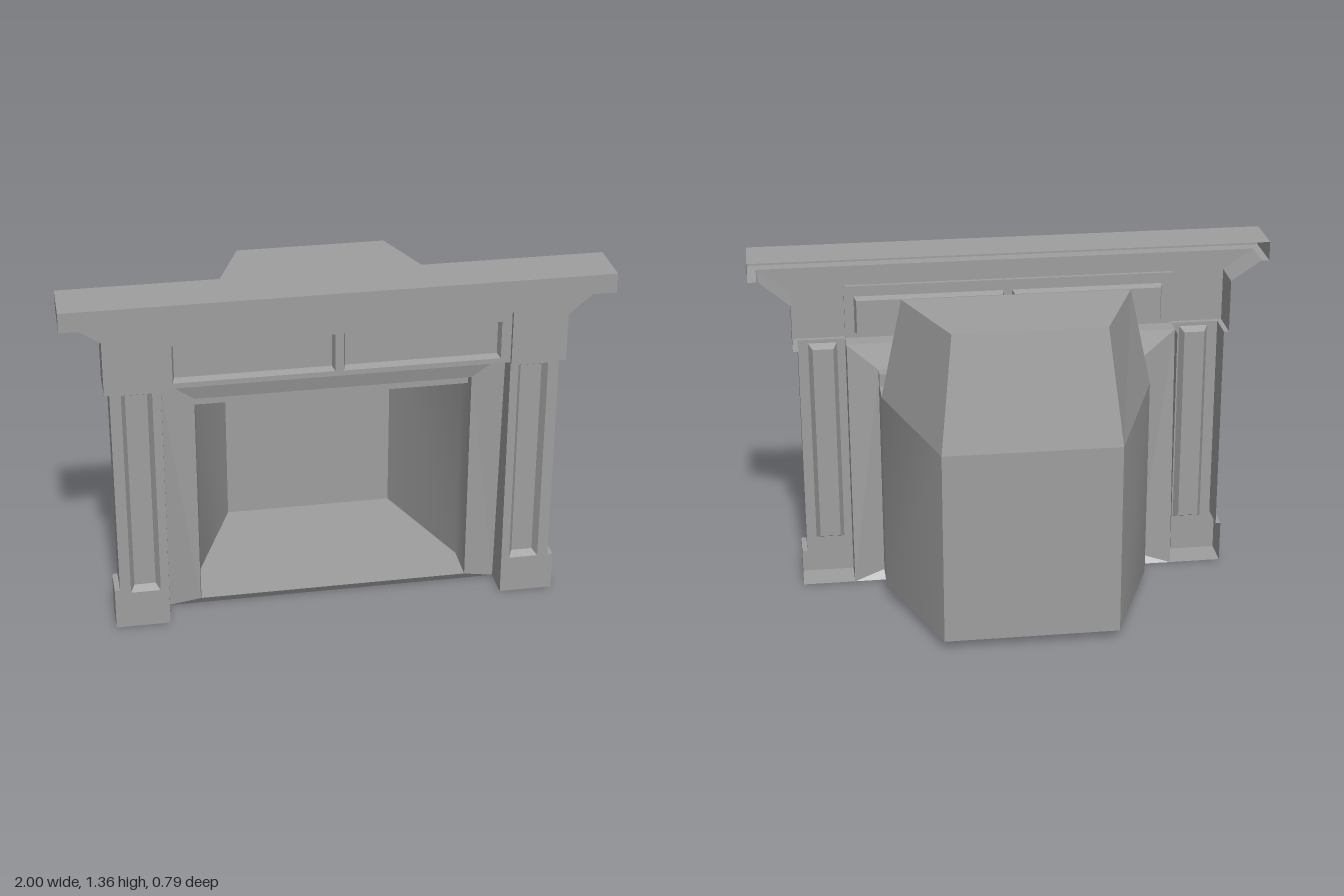
import * as THREE from 'three';
import { toCreasedNormals } from 'three/addons/utils/BufferGeometryUtils.js';

const mat = new THREE.MeshStandardMaterial({ color: 0x9e9e9e, side: THREE.DoubleSide });

const rect = (x0, x1, y0, y1) => [[x0, y0], [x1, y0], [x1, y1], [x0, y1]];
const atZ = (pts, z) => pts.map(([x, y]) => [x, y, z]);
const atY = (pts, y) => pts.map(([x, z]) => [x, y, z]);
const inset = (r, d) => rect(r[0][0] + d, r[1][0] - d, r[0][1] + d, r[2][1] - d);

function add(parent, name, geo) {
  const mesh = new THREE.Mesh(geo, mat);
  mesh.name = name;
  parent.add(mesh);
  return mesh;
}

// Flat sheet facing +z, with optional holes
function sheet(parent, name, outline, z, holes = []) {
  const v = (pts) => pts.map(([x, y]) => new THREE.Vector2(x, y));
  const shape = new THREE.Shape(v(outline));
  for (const h of holes) shape.holes.push(new THREE.Path(v(h)));
  return add(parent, name, new THREE.ShapeGeometry(shape).translate(0, 0, z));
}

// Skin through successive rows of points; bends below the crease angle are smooth
function skin(parent, name, rows, closed = true, crease = 0) {
  const pos = [];
  for (let r = 0; r + 1 < rows.length; r++) {
    const a = rows[r], b = rows[r + 1], n = a.length;
    for (let i = 0; i < (closed ? n : n - 1); i++) {
      const j = (i + 1) % n;
      pos.push(...a[i], ...a[j], ...b[j], ...a[i], ...b[j], ...b[i]);
    }
  }
  const geo = new THREE.BufferGeometry();
  geo.setAttribute('position', new THREE.Float32BufferAttribute(pos, 3));
  geo.computeVertexNormals();
  return add(parent, name, crease ? toCreasedNormals(geo, crease) : geo);
}

// Recessed panel: bevelled moulding around a sunk field
function panel(parent, name, r, z, depth, border) {
  const inner = inset(r, border);
  skin(parent, name + 'Moulding', [atZ(r, z), atZ(inner, z - depth)]);
  sheet(parent, name + 'Field', inner, z - depth);
}

function pilaster(side, yb) {
  const g = new THREE.Group();
  g.name = side > 0 ? 'leftPilaster' : 'rightPilaster';
  const zf = 0.32, zb = 0.2, xi = 0.643, xo = 0.828, xb = 0.848;
  const field = rect(0.675, 0.787, 0.15, 0.985);
  // shaft and base block share one front plane
  const outline = [[xi, 0], [xb, 0], [xb, yb], [xo, yb], [xo, 1], [xi, 1]];
  sheet(g, 'pilasterFront', outline, zf, [field]);
  const edge = [[xi, 1], ...outline.slice(0, 5)];
  skin(g, 'pilasterSides', [atZ(edge, zf), atZ(edge, zb)], false);
  panel(g, 'pilasterPanel', field, zf, 0.03, 0.016);
  g.scale.x = side;
  return g;
}

export function createModel() {
  const model = new THREE.Group();
  model.name = 'fireplace';

  // Frame: open-backed shell of pilasters, frieze and shelf
  const frame = new THREE.Group();
  frame.name = 'frame';
  frame.position.x = -0.005;
  frame.add(pilaster(1, 0.15), pilaster(-1, 0.165));
  model.add(frame);

  // Frieze with flared top corners and a shallow sunk middle
  const frieze = new THREE.Group();
  frieze.name = 'frieze';
  frame.add(frieze);
  const zf = 0.34, zm = 0.324, zb = 0.2;
  const mid = [[-0.642, 1], [-0.642, 1.21], [0.642, 1.21], [0.642, 1]];
  const end = (s, y) => [[s * 0.642, 1], [s * 0.848, 1], [s * 0.848, y], [s * 0.967, 1.288]];
  const endR = end(1, 1.185), endL = end(-1, 1.208);
  sheet(frieze, 'friezeBorder', [...endR, ...endL.slice().reverse(), ...mid.slice(1, 3)], zf);
  for (const e of [endR, endL]) {
    const wall = e.slice(1);
    skin(frieze, 'friezeEnd', [atZ(wall, zf), atZ(wall, zb)], false);
  }
  for (const s of [1, -1]) {
    const strip = (x, z) => [s * x, 1, z];
    skin(frieze, 'friezeUnderside', [
      [strip(0.642, zf), strip(0.848, zf)], [strip(0.642, 0.32), strip(0.848, 0.32)]], false);
    skin(frieze, 'friezeOverhang', [
      [strip(0.828, 0.32), strip(0.848, 0.32)], [strip(0.828, zb), strip(0.848, zb)]], false);
  }
  skin(frieze, 'friezeStep', [atZ(mid, zf), atZ(mid, zm)], false);
  const panels = [rect(-0.6, -0.01, 1.02, 1.168), rect(0.022, 0.605, 1.02, 1.168)];
  sheet(frieze, 'friezeMiddle', mid, zm, panels);
  for (const p of panels) panel(frieze, 'friezePanel', p, zm, 0.03, 0.008);

  // Mantel shelf, hollow behind, with a lip returning to the frieze
  const plan = (x, z) => [[-x, zb], [-x, z], [x, z], [x, zb]];
  skin(model, 'shelfEdge', [
    atY(plan(1, 0.396), 1.36), atY(plan(1, 0.396), 1.286), atY(plan(0.967, zf), 1.286)], false);
  skin(model, 'shelfTop', [
    [[-1, 1.36, zb], [1, 1.36, zb]], [[-1, 1.36, 0.396], [1, 1.36, 0.396]]], false);

  // Sunk surround: reveals and a slightly dished face around the opening
  const zo = 0.225;
  const opening = rect(-0.52, 0.518, 0.035, 0.9);
  const rimFront = rect(-0.648, 0.638, 0, 1);
  const rimBack = rimFront.map(([x, y]) => [x, y, 0.2 + 0.05 * y]);
  const openEnd = (r) => [r[0], r[3], r[2], r[1]];
  skin(model, 'surroundReveal', [openEnd(atZ(rimFront, zm)), openEnd(rimBack)], false);
  skin(model, 'surroundFace', [rimBack, atZ(opening, zo)]);

  // Lintel step behind the head of the opening
  const head = [[-0.52, 0.85], [-0.52, 0.9], [0.518, 0.9], [0.518, 0.85]];
  skin(model, 'lintelStep', [atZ(head, zo), atZ(head, 0.175)], false);
  skin(model, 'lintel', [
    [[-0.52, 0.9, 0.175], [0.518, 0.9, 0.175]],
    [[-0.52, 0.85, 0.175], [0.518, 0.85, 0.175]],
    [[-0.518, 0.85, 0.07], [0.518, 0.85, 0.07]]], false);

  // Firebox: splayed side walls, back and floor
  const floor = [[0.518, zo], [0.518, 0.07], [0.335, -0.395], [-0.335, -0.395], [-0.518, 0.07], [-0.518, zo]];
  const wallTop = [0.85, 0.85, 0.8, 0.8, 0.85, 0.85];
  const rim = floor.map(([x, z], i) => [x, wallTop[i], z]);
  skin(model, 'fireboxWalls', [atY(floor, 0.035), rim], false, Math.PI / 6);
  const hearth = sheet(model, 'fireboxFloor', floor.map(([x, z]) => [x, -z]), 0);
  hearth.rotation.x = -Math.PI / 2;
  hearth.position.y = 0.035;

  // Smoke chamber tapering to a closed flat top
  const top = [[0.435, 0.07], [0.285, -0.315], [-0.285, -0.315], [-0.435, 0.07]];
  skin(model, 'smokeChamber', [rim.slice(1, 5), atY(top, 1.24)]);
  const cap = sheet(model, 'smokeChamberTop', top.map(([x, z]) => [x, -z]), 0);
  cap.rotation.x = -Math.PI / 2;
  cap.position.y = 1.24;

  return model;
}
